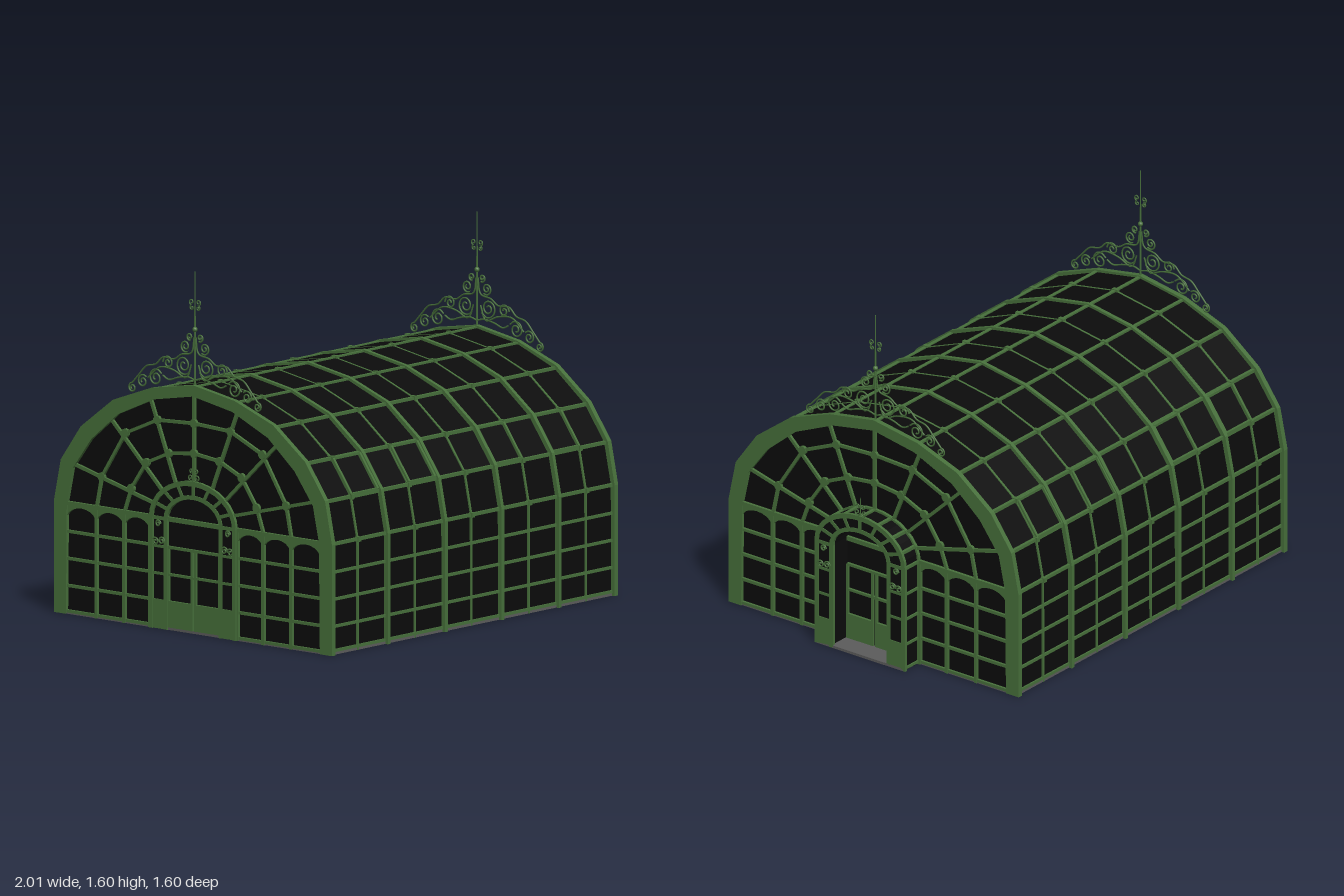
import * as THREE from 'three';

const mat = (name, color, side = THREE.FrontSide) => {
  const m = new THREE.MeshStandardMaterial({ color, side });
  m.name = name;
  return m;
};

// half outline of the vault as [z, y]: outer edge and inner edge of the end frame
const OUTER = [[.8, 0], [.8, .49], [.76, .68], [.645, .84], [.46, .98], [.24, 1.06], [0, 1.1]];
const INNER = [[.73, 0], [.725, .49], [.69, .65], [.585, .79], [.43, .92], [.225, 1.01], [0, 1.05]];
const profile = t => OUTER.map(([z, y], i) => [z + (INNER[i][0] - z) * t, y + (INNER[i][1] - y) * t]);
const fullProfile = t => {
  const h = profile(t);
  return [...h, ...h.slice(0, -1).reverse().map(([z, y]) => [-z, y])];
};
// posts with an elliptical arch on top
const archPoints = (a, b, spring = .49, n = 16) => {
  const pts = [[a, 0]];
  for (let i = 0; i <= n; i++) {
    const k = Math.PI * i / n;
    pts.push([a * Math.cos(k), spring + b * Math.sin(k)]);
  }
  return [...pts, [-a, 0]];
};
const shapeOf = pts => new THREE.Shape(pts.map(p => new THREE.Vector2(...p)));
const bandShape = (outer, inner) => shapeOf([...outer, ...[...inner].reverse()]);

export function createModel() {
  const green = mat('green iron', 0x47703b);
  const glass = mat('dark glass', 0x0b0b0b);
  const stone = mat('grey floor', 0x5c5c5c);
  const model = new THREE.Group();
  model.name = 'greenhouse';

  const add = (parent, name, geo, material, x = 0, y = 0, z = 0) => {
    const m = new THREE.Mesh(geo, material);
    m.name = name;
    m.position.set(x, y, z);
    parent.add(m);
    return m;
  };
  const plate = (parent, name, shape, depth, z, material = green) =>
    add(parent, name, new THREE.ExtrudeGeometry(shape, { depth, bevelEnabled: false }), material, 0, 0, z);
  // flat bar between two points of a facade
  const bar = (parent, name, [u1, y1], [u2, y2], w, d, z) => {
    const m = add(parent, name, new THREE.BoxGeometry(Math.hypot(u2 - u1, y2 - y1), w, d), green,
      (u1 + u2) / 2, (y1 + y2) / 2, z);
    m.rotation.z = Math.atan2(y2 - y1, u2 - u1);
    return m;
  };
  // square beam between two points in space
  const beam = (name, a, b, w) => {
    const p = new THREE.Vector3(...a), q = new THREE.Vector3(...b);
    const m = add(model, name, new THREE.BoxGeometry(w, w, p.distanceTo(q)), green);
    m.position.copy(p).add(q).multiplyScalar(.5);
    m.lookAt(q);
    return m;
  };
  const wire = (parent, name, pts, r = .004) => {
    const curve = new THREE.CatmullRomCurve3(pts.map(([u, y]) => new THREE.Vector3(u, y, 0)));
    return add(parent, name, new THREE.TubeGeometry(curve, pts.length * 4, r, 5), green);
  };
  const scroll = (parent, u, y, r, start, turns, radius) => {
    const pts = [];
    for (let i = 0; i <= 14; i++) {
      const k = i / 14, a = start + turns * 2 * Math.PI * k, q = r * (1 - .8 * k);
      pts.push([u + q * Math.cos(a), y + q * Math.sin(a)]);
    }
    return wire(parent, 'scroll', pts, radius);
  };

  // glazed vault and floor
  const body = new THREE.Group();
  body.name = 'glazedBody';
  body.rotation.y = Math.PI / 2;
  model.add(body);
  plate(body, 'glassVault', shapeOf(fullProfile(.3)), 1.87, -.985, glass).position.y = .004;
  add(model, 'floorSlab', new THREE.BoxGeometry(1.89, .012, 1.57), stone, -.05, .006, 0);

  // ribs over the vault, heavy and light in turn
  const majorX = [-.62, -.24, .135, .515], minorX = [-.81, -.43, -.055, .325, .705];
  for (const x of majorX)
    plate(body, 'mainRib', bandShape(fullProfile(0), fullProfile(.5)), .018, x - .009);
  for (const x of minorX)
    plate(body, 'lightRib', bandShape(fullProfile(.2), fullProfile(.5)), .01, x - .005);

  // lengthwise rails with joints at the light ribs
  const line = profile(.25);
  for (const s of [-1, 1]) {
    for (const y of [.018, .125, .245, .365])
      beam('wallRail', [-.985, y, s * .78], [.885, y, s * .78], .013);
    line.slice(1).forEach(([z, y], i) => {
      if (z === 0 && s < 0) return;
      beam(z ? 'roofRail' : 'ridgeRail', [-.985, y, s * z], [.885, y, s * z], .015);
      for (const x of minorX) add(model, 'joint', new THREE.BoxGeometry(.018, .022, .03), green, x, y, s * z);
    });
    // roof vents
    const [[z0, y0], [z1, y1]] = profile(.14).slice(2, 4);
    const at = (x, k) => [x, y0 + (y1 - y0) * k, s * (z0 + (z1 - z0) * k)];
    for (const [xa, xb] of [[-.81, -.635], [-.425, -.255], [.145, .32], [.525, .7]])
      for (const [p, q] of [[at(xa, .04), at(xb, .04)], [at(xa, .97), at(xb, .97)],
        [at(xa, .04), at(xa, .97)], [at(xb, .04), at(xb, .97)]])
        beam('ventFrame', p, q, .012);
  }

  // scrolled crest and spire over a gable
  function crest() {
    const g = new THREE.Group();
    g.name = 'crest';
    add(g, 'spire', new THREE.CylinderGeometry(.0025, .005, .53, 6), green, 0, 1.335, 0);
    add(g, 'spireKnob', new THREE.SphereGeometry(.012, 8, 6), green, 0, 1.345, 0);
    for (const s of [1, -1]) {
      const half = new THREE.Group();
      half.name = 'crestHalf';
      if (s < 0) half.rotation.y = Math.PI;
      g.add(half);
      scroll(half, .065, 1.18, .045, -2.6, 1.8);
      scroll(half, .055, 1.265, .028, -2.2, 1.6);
      scroll(half, .03, 1.31, .018, -2, 1.4);
      scroll(half, .155, 1.18, .03, 0, 1.5);
      scroll(half, .225, 1.105, .04, 2.6, -1.7);
      scroll(half, .3, 1.08, .03, 2.4, -1.6);
      scroll(half, .36, 1.045, .022, 1.6, -1.6);
      wire(half, 'stem', [[.005, 1.31], [.02, 1.24], [.08, 1.225], [.12, 1.2], [.185, 1.2], [.225, 1.165], [.28, 1.15], [.32, 1.11], [.36, 1.067]]);
      wire(half, 'stem', [[0, 1.12], [.04, 1.13], [.1, 1.12], [.15, 1.105], [.185, 1.12]]);
      wire(half, 'stem', [[.02, 1.19], [.05, 1.125], [.12, 1.15], [.2, 1.155], [.27, 1.1]]);
      scroll(half, .02, 1.465, .014, -1.6, 1.3, .003);
      scroll(half, .018, 1.44, .012, 1.6, -1.3, .003);
    }
    return g;
  }

  // gable end; local z points outwards, porch depth varies
  function gable(depth) {
    const g = new THREE.Group();
    g.name = depth > .05 ? 'porchGable' : 'plainGable';
    plate(g, 'gableFrame', bandShape(fullProfile(0), fullProfile(1)), .024, -.01);
    const fan = [
      [[0, .67], [0, .797], [0, .93], [0, 1.06]],
      [[.1, .64], [.146, .78], [.21, .92], [.25, 1.012]],
      [[.18, .61], [.274, .724], [.394, .84], [.485, .9]],
      [[.23, .55], [.36, .6], [.53, .63], [.7, .67]],
      [[.25, .49], [.4, .49], [.56, .49], [.73, .49]],
    ];
    for (const s of [1, -1]) {
      const m = ([u, y]) => [u * s, y];
      // fan of spokes, rings and round joints
      fan.forEach((spoke, i) => {
        if (i < 4) bar(g, 'spoke', m(spoke[0]), m(spoke[3]), .015, .014, .004);
        for (const k of [1, 2]) {
          if (i < 4) {
            bar(g, 'fanRing', m(spoke[k]), m(fan[i + 1][k]), .014, .014, .004);
            const disc = add(g, 'fanJoint', new THREE.CylinderGeometry(.02, .02, .018, 10), green, ...m(spoke[k]), .004);
            disc.rotation.x = Math.PI / 2;
          }
        }
      });
      // wall grid below the fan
      for (const u of [.56, .4, .25]) bar(g, 'wallPost', m([u, 0]), m([u, .49]), .016, .018, .004);
      for (const y of [.012, .125, .245, .365]) bar(g, 'wallBar', m([.24, y]), m([.73, y]), .013, .014, .003);
      bar(g, 'springBar', m([.24, .49]), m([.73, .49]), .018, .018, .004);
      // arched heads of the bays
      for (const [a, b] of [[.25, .4], [.4, .56], [.56, .73]]) {
        const c = s * (a + b) / 2, r = (b - a) / 2, head = [[c + r, .49], [c - r, .49]];
        for (let i = 0; i <= 10; i++) {
          const k = Math.PI * (1 - i / 10);
          head.push([c + r * Math.cos(k), .42 + .055 * Math.sin(k)]);
        }
        plate(g, 'bayArch', shapeOf(head), .012, -.002);
      }
      // door leaf
      add(g, 'doorKickPanel', new THREE.BoxGeometry(.142, .118, .014), green, s * .077, .07, .004);
      for (const u of [.01, .148]) bar(g, 'doorStile', m([u, .01]), m([u, .365]), .01, .014, .004);
      bar(g, 'doorRail', m([0, .245]), m([.15, .245]), .011, .014, .004);
      bar(g, 'doorHead', m([0, .365]), m([.15, .365]), .012, .014, .004);
      bar(g, 'transom', m([0, .49]), m([.15, .49]), .02, .018, .004);
    }

    // porch: glazed shell, iron edges, bars and ribs
    plate(g, 'porchGlass', bandShape(archPoints(.24, .175), archPoints(.155, .11)), depth - .004, 0, glass);
    for (const z of depth > .05 ? [0, depth - .014] : [depth - .01])
      plate(g, 'porchOuterArch', bandShape(archPoints(.25, .185), archPoints(.228, .163)), .014, z);
    plate(g, 'porchInnerArch', bandShape(archPoints(.168, .122), archPoints(.148, .103)), .014, depth - .014);
    for (let i = 0; i <= 8; i++) {
      const k = Math.PI * i / 8, c = Math.cos(k), n = Math.sin(k);
      bar(g, 'porchSpoke', [.155 * c, .49 + .11 * n], [.24 * c, .49 + .175 * n], .016, .012, depth - .006);
      if (depth > .05)
        add(g, 'porchRoofBar', new THREE.BoxGeometry(.014, .014, depth - .01), green, .241 * c, .49 + .176 * n, depth / 2);
    }
    for (const s of [1, -1]) {
      add(g, 'pilasterBase', new THREE.BoxGeometry(.1, .13, .014), green, s * .198, .066, depth - .007);
      for (const y of [.245, .365]) bar(g, 'pilasterBar', [s * .15, y], [s * .245, y], .012, .012, depth - .006);
      scroll(g, s * .18, .39, .018, 0, 1.4).position.z = depth;
      scroll(g, s * .215, .385, .018, Math.PI, -1.4).position.z = depth;
      scroll(g, s * .2, .465, .016, 0, 1.4).position.z = depth;
      if (depth > .05) for (const y of [.012, .125, .245, .365])
        add(g, 'porchSideBar', new THREE.BoxGeometry(.012, .012, depth - .01), green, s * .241, y, depth / 2);
      // small ornament over the porch arch
      for (const [u, y, r] of [[.018, .69, .016], [.014, .72, .012]])
        scroll(g, s * u, y, r, s > 0 ? Math.PI : 0, s * 1.4, .003).position.z = depth - .006;
    }
    add(g, 'porchFinial', new THREE.CylinderGeometry(.001, .004, .1, 6), green, 0, .715, depth - .006);
    if (depth > .05) add(g, 'porchFloor', new THREE.BoxGeometry(.48, .012, depth), stone, 0, .006, depth / 2);
    g.add(crest());
    return g;
  }

  const right = gable(.112);
  right.rotation.y = Math.PI / 2;
  right.position.x = .886;
  const left = gable(.014);
  left.rotation.y = -Math.PI / 2;
  left.position.x = -.986;
  model.add(right, left);
  return model;
}
